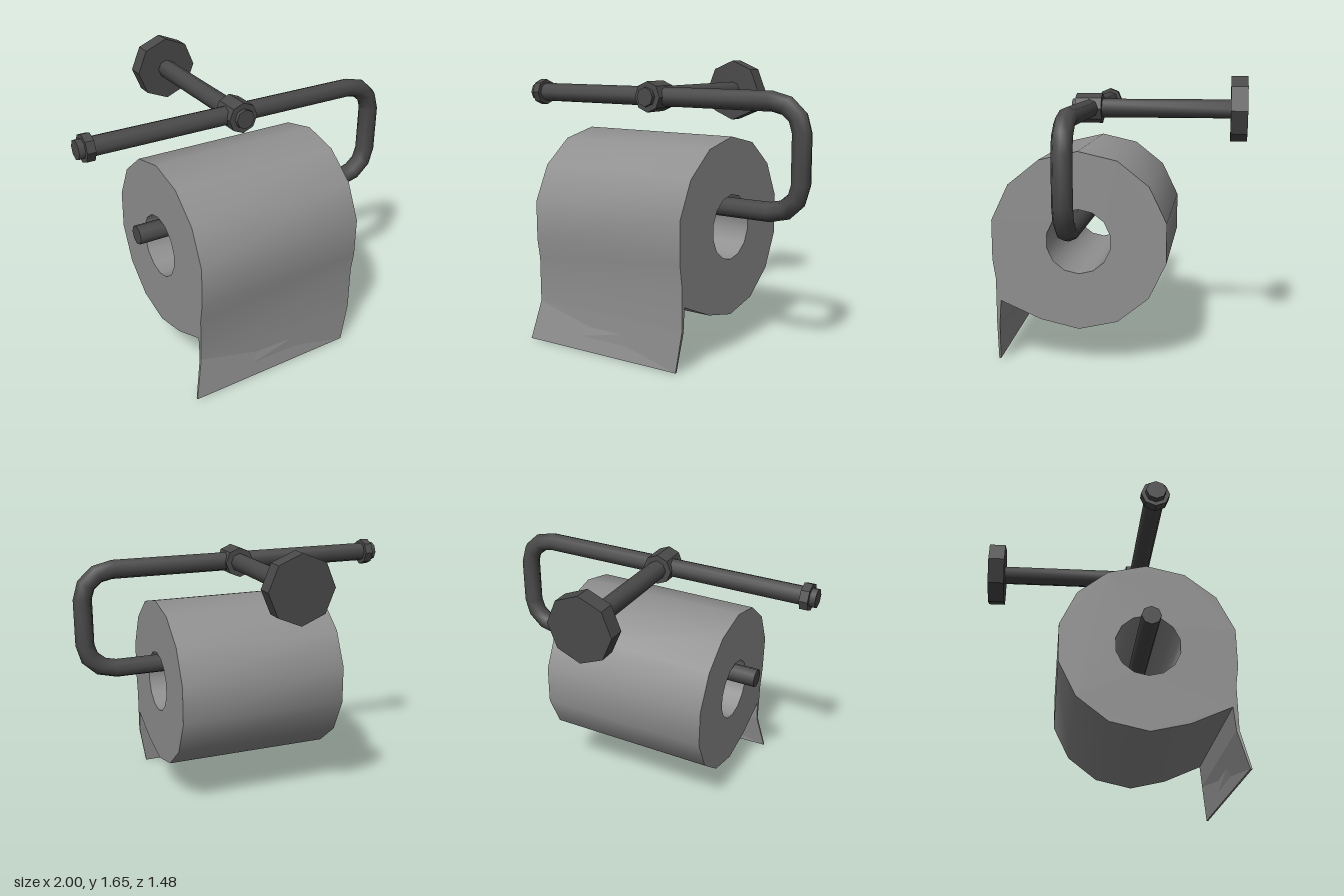
import * as THREE from 'three';
import { toCreasedNormals } from 'three/addons/utils/BufferGeometryUtils.js';

const metal = new THREE.MeshStandardMaterial({ color: 0x4a4a4a });
const paper = new THREE.MeshStandardMaterial({ color: 0x909090, side: THREE.DoubleSide });

const TUBE = 0.057;   // tube radius
const RAIL_Y = 1.458, RAIL_Z = 0.215, LOWER_Y = 0.849, ARM_X = -0.03;
const ROLL_X = -0.54, ROLL_LENGTH = 1.04, TAIL_Y = 0.235;

function part(name, geometry, material) {
  const mesh = new THREE.Mesh(geometry, material);
  mesh.name = name;
  return mesh;
}

// Eight-sided prism between two positions on the x or z axis, a corner pointing up
function prism(name, axis, from, to, radius, smooth) {
  let geo = new THREE.CylinderGeometry(radius, radius, to - from, 8);
  if (axis === 'x') geo.rotateZ(-Math.PI / 2);
  else geo.rotateX(Math.PI / 2);
  geo = toCreasedNormals(geo, smooth ? 1 : 0.1);
  const mid = (from + to) / 2;
  if (axis === 'x') geo.translate(mid, RAIL_Y, RAIL_Z);
  else geo.translate(ARM_X, RAIL_Y, mid);
  return part(name, geo, metal);
}

// Bent rail: rings swept along a path in the xy plane, closed at both ends
function railGeometry() {
  const rx = 0.185, ry = 0.165;
  const path = [[-1, RAIL_Y, 0]];   // x, y, heading
  const bend = (cx, cy, start) => {
    for (let i = 0; i <= 3; i++) {
      const a = start - i * Math.PI / 6;
      path.push([cx + rx * Math.cos(a), cy + ry * Math.sin(a), a - Math.PI / 2]);
    }
  };
  bend(0.756, RAIL_Y - ry, Math.PI / 2);
  bend(0.756, LOWER_Y + ry, 0);
  path.push([-0.68, LOWER_Y, -Math.PI]);

  const n = 8, pos = [], index = [];
  for (const [x, y, h] of path) {
    for (let j = 0; j < n; j++) {
      const a = j / n * Math.PI * 2, r = TUBE * Math.cos(a);
      pos.push(x - Math.sin(h) * r, y + Math.cos(h) * r, RAIL_Z + TUBE * Math.sin(a));
    }
  }
  const last = (path.length - 1) * n;
  for (let i = 0; i < last; i += n) {
    for (let j = 0; j < n; j++) {
      const k = (j + 1) % n;
      index.push(i + j, i + k, i + n + j, i + k, i + n + k, i + n + j);
    }
  }
  for (let j = 1; j < n - 1; j++) {
    index.push(0, j + 1, j, last, last + j, last + j + 1);
  }
  const geo = new THREE.BufferGeometry();
  geo.setAttribute('position', new THREE.Float32BufferAttribute(pos, 3));
  geo.setIndex(index);
  return toCreasedNormals(geo, 1);
}

// Hollow roll with the upper part of its loose sheet, extruded across x
function rollGeometry() {
  const cz = 0.21, cy = 0.7325, sides = 14;
  const corner = (r, i) => {
    const a = i / sides * Math.PI * 2;
    return new THREE.Vector2(-(cz - r * Math.sin(a)), cy + r * Math.cos(a));
  };
  // From the front, over the top and round the back to below
  const outline = [];
  for (let i = -4; i <= 8; i++) outline.push(corner(0.518, i));
  // Start of the hanging sheet, back face down and front face up
  for (const [z, y] of [[0.67, 0.37], [0.68, TAIL_Y], [0.697, TAIL_Y], [0.697, 0.5]]) {
    outline.push(new THREE.Vector2(-z, y));
  }
  const shape = new THREE.Shape(outline);
  const hole = [];
  for (let i = 0; i < sides; i++) hole.push(corner(0.188, i));
  shape.holes.push(new THREE.Path(hole));

  const geo = new THREE.ExtrudeGeometry(shape, { depth: ROLL_LENGTH, bevelEnabled: false });
  geo.rotateY(Math.PI / 2);
  geo.translate(ROLL_X, 0, 0);
  return toCreasedNormals(geo, 0.6);
}

// Free end of the sheet: a thin slab whose lower edge is skewed and curls forward on one side
function tailGeometry() {
  const geo = new THREE.BoxGeometry(TAIL_Y, ROLL_LENGTH, 0.017);
  geo.rotateZ(Math.PI / 2);
  geo.translate(ROLL_X + ROLL_LENGTH / 2, TAIL_Y / 2, 0.6885);
  const p = geo.attributes.position;
  for (let i = 0; i < p.count; i++) {
    if (p.getY(i) > 0.01) continue;
    const right = p.getX(i) < 0, front = p.getZ(i) > 0.6885;
    p.setX(i, right ? -0.59 : 0.46);
    p.setZ(i, (front ? 0.701 : 0.69) + (right ? 0.038 : 0));
  }
  return toCreasedNormals(geo, 0.05);
}

export function createModel() {
  const model = new THREE.Group();
  model.name = 'paperRollHolder';
  model.add(
    prism('wallPlate', 'z', -0.74, -0.64, 0.197, false),
    prism('wallArm', 'z', -0.66, 0.325, TUBE, true),
    prism('connector', 'z', 0.14, 0.3, 0.091, false),
    prism('endCollar', 'x', -0.965, -0.915, 0.081, false),
    part('bentRail', railGeometry(), metal),
    part('paperRoll', rollGeometry(), paper),
    part('sheetEnd', tailGeometry(), paper)
  );
  return model;
}
